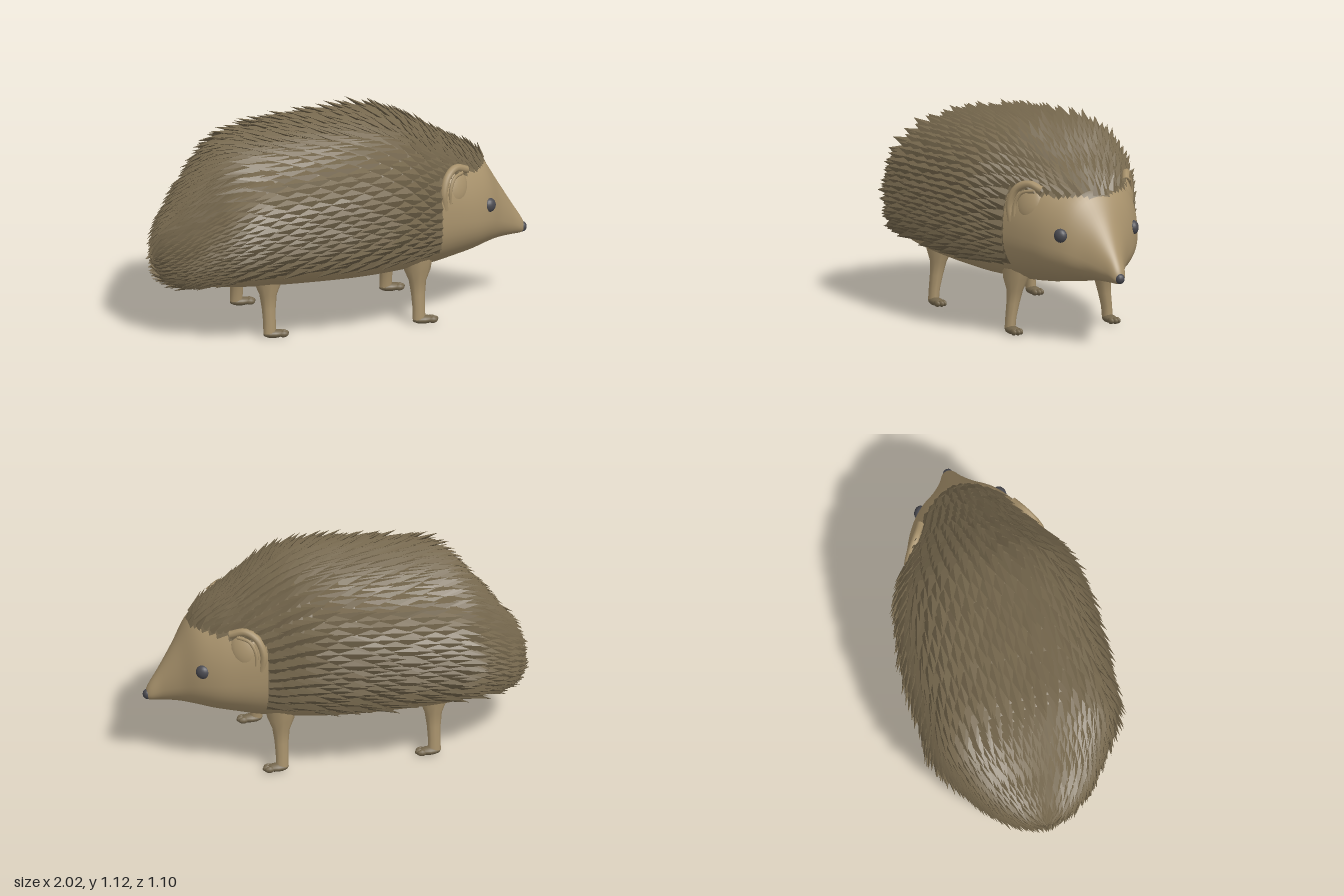
import * as THREE from 'three';
import { mergeGeometries } from 'three/addons/utils/BufferGeometryUtils.js';

const V = (x, y, z) => new THREE.Vector3(x, y, z);
const mat = (color, extra = {}) => new THREE.MeshStandardMaterial({ color, ...extra });
const skinMat = mat(0xa8926c);
const spineMat = mat(0x74664c, { flatShading: true, side: THREE.DoubleSide });
const coatMat = mat(0x74664c, { side: THREE.DoubleSide });
const footMat = mat(0x74664c);
const darkMat = mat(0x4a4a50);

// Body cross-sections from tail to snout: x, bottom, top, half width, widest height, squareness
const SECTIONS = [
  [-0.975, 0.38, 0.38, 0, 0.38, 2], [-0.94, 0.29, 0.54, 0.15, 0.41, 2.2],
  [-0.85, 0.26, 0.66, 0.27, 0.46, 2.4], [-0.72, 0.25, 0.81, 0.37, 0.53, 2.5],
  [-0.55, 0.25, 0.95, 0.46, 0.58, 2.6], [-0.3, 0.245, 1.0, 0.48, 0.6, 2.6],
  [0, 0.245, 1.03, 0.475, 0.61, 2.6], [0.25, 0.255, 1.03, 0.44, 0.6, 2.5],
  [0.43, 0.27, 0.96, 0.375, 0.56, 2.4], [0.55, 0.29, 0.9, 0.33, 0.54, 2.3],
  [0.66, 0.31, 0.84, 0.28, 0.52, 2.2], [0.75, 0.33, 0.78, 0.215, 0.5, 2.1],
  [0.83, 0.34, 0.655, 0.13, 0.46, 2], [0.91, 0.345, 0.525, 0.065, 0.42, 2],
  [0.97, 0.35, 0.43, 0.032, 0.385, 2], [0.99, 0.375, 0.375, 0, 0.375, 2],
];
const spline = (k) => new THREE.CatmullRomCurve3(
  SECTIONS.map((s) => V(s[k], s[k + 1], s[k + 2])), false, 'catmullrom', 0.5);
const curveA = spline(0), curveB = spline(3);

// Point on the body: t runs tail to snout, a runs around the section
function bodyPoint(t, a) {
  const p = curveA.getPoint(t), q = curveB.getPoint(t);
  const c = Math.cos(a), s = Math.sin(a), n = q.z;
  const r = (Math.abs(c) ** n + Math.abs(s) ** n) ** (-1 / n);
  const reach = s > 0 ? p.z - q.y : q.y - p.y;
  return V(p.x, q.y + s * r * reach, c * r * q.x);
}

// Spines cover the back and flanks, and a crown above the forehead
function isSpiny(p) {
  if (p.x > 0.43) return p.x < 0.765 && p.y > 0.77;
  const low = THREE.MathUtils.mapLinear(THREE.MathUtils.clamp(p.x, -0.85, -0.5), -0.85, -0.5, 0.27, 0.4);
  return p.y > low;
}

// Closed loft of rings; keep() picks which faces to build
function loft(rows, sides, point, keep = () => true) {
  const pos = [], index = [], pts = [];
  for (let i = 0; i <= rows; i++) for (let j = 0; j < sides; j++) {
    const p = point(i / rows, (j / sides) * Math.PI * 2);
    pts.push(p);
    pos.push(p.x, p.y, p.z);
  }
  for (let i = 0; i < rows; i++) for (let j = 0; j < sides; j++) {
    const a = i * sides + j, b = a + sides;
    const c = i * sides + ((j + 1) % sides), d = c + sides;
    if (keep(pts[a].clone().add(pts[d]).multiplyScalar(0.5))) index.push(a, b, c, b, d, c);
  }
  const g = new THREE.BufferGeometry();
  g.setAttribute('position', new THREE.Float32BufferAttribute(pos, 3));
  g.setIndex(index);
  g.computeVertexNormals();
  return g;
}

// Local frame on the body: backward, outward
function frame(t, a) {
  const p = bodyPoint(t, a);
  const back = bodyPoint(t - 0.006, a).sub(bodyPoint(t + 0.006, a)).normalize();
  const around = bodyPoint(t, a + 0.03).sub(bodyPoint(t, a - 0.03)).normalize();
  const out = V().crossVectors(around, back).normalize();
  return { p, back, out };
}

// Rows of overlapping pyramid spines, staggered, leaning backward
function spineGeometry() {
  let seed = 7;
  const rnd = () => (seed = (seed * 16807) % 2147483647) / 2147483647;
  const cone = new THREE.ConeGeometry(1, 1, 4, 1, true).translate(0, 0.5, 0);
  const parts = [];
  let t = 0.03, row = 0;
  while (t < 0.78) {
    const x = curveA.getPoint(t).x;
    const size = THREE.MathUtils.lerp(0.6, 1, THREE.MathUtils.smoothstep(0.75 - Math.abs(x + 0.1), 0, 0.5));
    const step = 0.066 * size;
    const half = curveB.getPoint(t).x, sec = curveA.getPoint(t);
    const count = Math.max(8, Math.round(Math.PI * (half + (sec.z - sec.y) / 2) * 1.08 / step));
    for (let j = 0; j < count; j++) {
      const a = ((j + (row % 2) / 2) / count) * Math.PI * 2;
      const { p, back, out } = frame(t, a);
      if (!isSpiny(p)) continue;
      const lean = 0.27 + 0.16 * rnd();
      const dir = back.clone().multiplyScalar(Math.cos(lean)).addScaledVector(out, Math.sin(lean));
      const side = V().crossVectors(dir, out).normalize();
      const up = V().crossVectors(side, dir);
      const len = 0.15 * size * (0.85 + 0.3 * rnd());
      const m = new THREE.Matrix4().makeBasis(
        side.multiplyScalar(0.046 * size), dir.multiplyScalar(len), up.multiplyScalar(0.022 * size));
      m.setPosition(p);
      parts.push(cone.clone().applyMatrix4(m));
    }
    const speed = bodyPoint(t + 0.005, 1.2).distanceTo(bodyPoint(t - 0.005, 1.2)) / 0.01;
    t += step * 0.85 / Math.max(speed, 0.5);
    row++;
  }
  return mergeGeometries(parts);
}

// Leg rings from hip to ankle: x offset, y, z, radius along x, radius along z
const LEG = [
  [0, 0.36, 0.24, 0.085, 0.08], [0, 0.29, 0.25, 0.07, 0.065], [0, 0.23, 0.257, 0.045, 0.042],
  [0, 0.16, 0.268, 0.036, 0.033], [0, 0.09, 0.28, 0.033, 0.027], [0, 0.03, 0.285, 0.033, 0.026],
];
function leg(x, side, name) {
  const g = new THREE.Group();
  g.name = name;
  const shin = loft(LEG.length - 1, 10, (u, a) => {
    const r = LEG[Math.round(u * (LEG.length - 1))];
    return V(x + r[0] + r[3] * Math.sin(a), r[1], side * r[2] + r[4] * Math.cos(a));
  });
  g.add(named(shin, skinMat, 'shin'));
  const foot = named(new THREE.SphereGeometry(1, 12, 8), footMat, 'foot');
  foot.scale.set(0.06, 0.022, 0.032);
  foot.position.set(x + 0.025, 0.026, side * 0.285);
  g.add(foot);
  for (const k of [-1, 0, 1]) {
    const toe = named(new THREE.SphereGeometry(1, 8, 6), footMat, 'toe');
    toe.scale.set(0.026, 0.017, 0.013);
    toe.position.set(x + 0.078 - Math.abs(k) * 0.008, 0.024, side * 0.285 + k * 0.019);
    g.add(toe);
  }
  return g;
}

function named(geometry, material, name) {
  const m = new THREE.Mesh(geometry, material);
  m.name = name;
  return m;
}

export function createModel() {
  const model = new THREE.Group();
  model.name = 'hedgehog';
  model.add(named(loft(90, 48, bodyPoint), skinMat, 'body'));

  // Dark coat under the spines, slightly above the skin
  const raised = (t, a) => {
    const p = bodyPoint(t, a), c = V(p.x, curveB.getPoint(t).y, 0);
    return p.add(p.clone().sub(c).setLength(0.006));
  };
  model.add(named(loft(90, 64, raised, isSpiny), coatMat, 'spineCoat'));
  model.add(named(spineGeometry(), spineMat, 'spines'));

  for (const s of [1, -1]) {
    const sideName = s > 0 ? 'Left' : 'Right';
    model.add(leg(0.335, s, 'frontLeg' + sideName), leg(-0.465, s, 'hindLeg' + sideName));

    // Ear: a curled rim over a flat flap
    const rim = new THREE.CatmullRomCurve3([
      V(0.455, 0.62, s * 0.345), V(0.447, 0.71, s * 0.35), V(0.475, 0.79, s * 0.325),
      V(0.53, 0.82, s * 0.285), V(0.6, 0.795, s * 0.245)]);
    const inner = new THREE.CatmullRomCurve3([
      V(0.485, 0.65, s * 0.345), V(0.487, 0.72, s * 0.34), V(0.515, 0.775, s * 0.315), V(0.57, 0.79, s * 0.275)]);
    model.add(named(new THREE.TubeGeometry(rim, 20, 0.02, 8), skinMat, 'earRim' + sideName));
    model.add(named(new THREE.TubeGeometry(inner, 16, 0.009, 6), skinMat, 'earFold' + sideName));
    const flap = named(new THREE.SphereGeometry(1, 20, 14), skinMat, 'earFlap' + sideName);
    flap.scale.set(0.085, 0.1, 0.04);
    flap.position.set(0.525, 0.725, s * 0.275);
    flap.rotation.set(-s * 0.35, s * 0.4, 0);
    model.add(flap);

    const eye = named(new THREE.SphereGeometry(0.037, 18, 12), darkMat, 'eye' + sideName);
    eye.scale.z = 0.75;
    eye.position.set(0.735, 0.58, s * 0.213);
    eye.rotation.y = s * 0.5;
    model.add(eye);
  }

  const nose = named(new THREE.SphereGeometry(1, 14, 10), darkMat, 'nose');
  nose.scale.set(0.024, 0.027, 0.025);
  nose.position.set(0.976, 0.378, 0);
  model.add(nose);
  return model;
}
